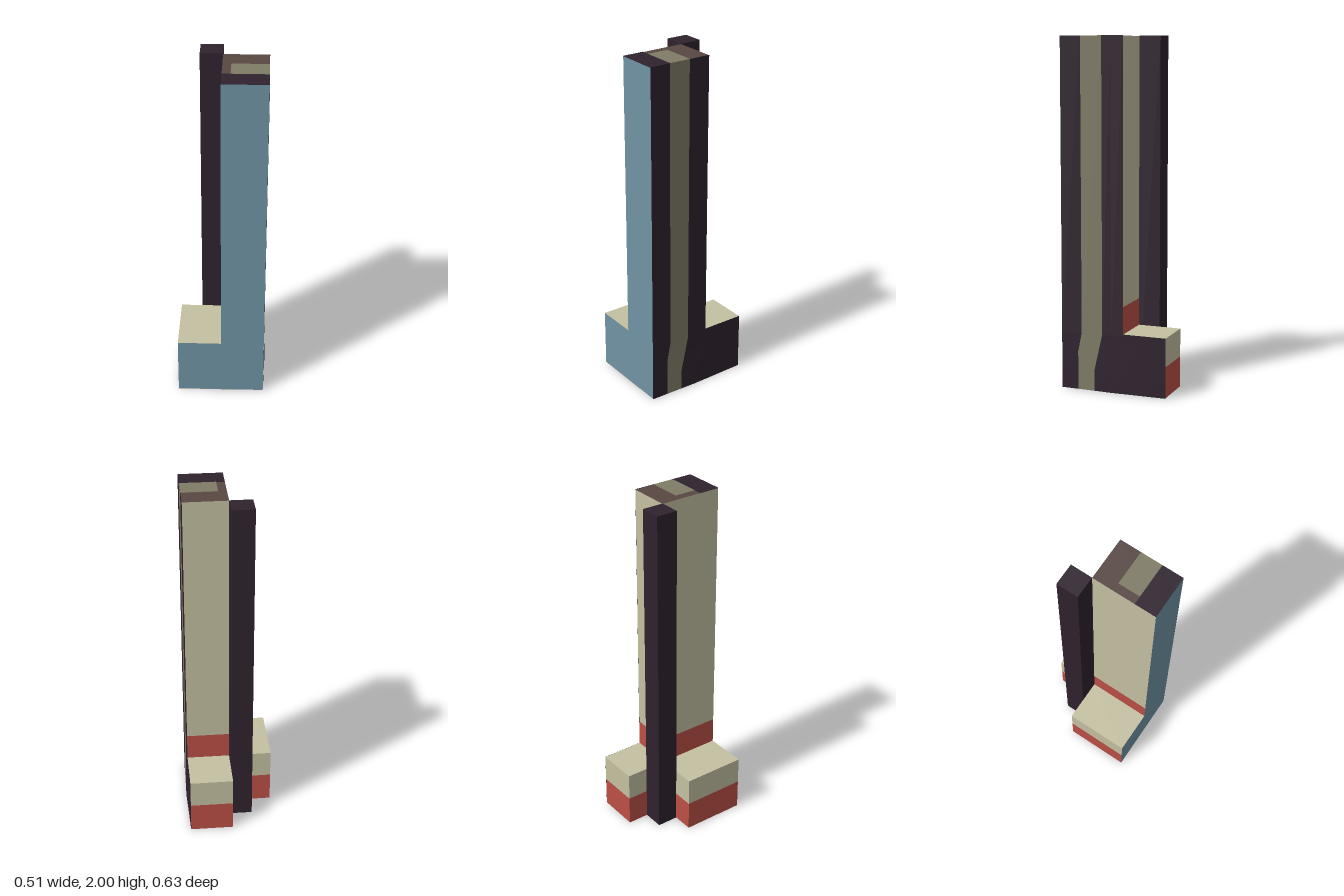
import * as THREE from 'three';

const mat = (name, color, side = THREE.FrontSide) => {
  const m = new THREE.MeshStandardMaterial({ color, side });
  m.name = name;
  return m;
};

export function createModel() {
  const group = new THREE.Group();
  const blue = mat('blue', 0x7093a4);
  const cream = mat('cream', 0xc4c0a2);
  const red = mat('red', 0xbb4f46);
  const dark = mat('dark plum', 0x2f222e, THREE.DoubleSide);
  const brown = mat('brown', 0x584844);
  const olive = mat('olive', 0x7f7c66, THREE.DoubleSide);

  const add = (name, geo, material) => {
    const mesh = new THREE.Mesh(geo, material);
    mesh.name = name;
    group.add(mesh);
  };
  const box = (name, [x0, x1], [y0, y1], [z0, z1], material) => {
    const geo = new THREE.BoxGeometry(x1 - x0, y1 - y0, z1 - z0);
    geo.translate((x0 + x1) / 2, (y0 + y1) / 2, (z0 + z1) / 2);
    add(name, geo, material);
  };
  // Face order: +x, -x, top, bottom, front, back
  const faces = (wall, top) => [dark, wall, top, brown, blue, wall];

  const L = -0.255, M = -0.004, R = 0.245;
  const F = 0.313, C = -0.062, B = -0.315;
  const step = 0.343, bottom = 0.002;

  // Tower
  box('towerFoot', [M, R], [bottom, step], [C, F], faces(red, cream));
  box('towerRedBand', [M, R], [step, 0.5], [C, F], faces(red, cream));
  box('towerShaft', [M, R], [0.5, 1.998], [C, F], faces(cream, brown));

  // Low wings: red below, cream above
  for (const [name, xs, zs] of [['sideWing', [L, M], [C, F]], ['backWing', [M, R], [B, C]]]) {
    box(name + 'Lower', xs, [bottom, 0.18], zs, faces(red, cream));
    box(name + 'Upper', xs, [0.18, step], zs, faces(cream, cream));
  }

  // Slim corner post
  box('cornerPost', [-0.13, M], [bottom, 2], [-0.189, C], [dark, dark, dark, brown, dark, dark]);

  // Painted areas on the tower top
  box('topFrontBand', [M, R], [1.998, 2], [0.189, F], dark);
  box('topStripe', [0.043, R], [1.998, 2], [0.062, 0.189], olive);

  // Left wall skin, bulging slightly near the ground
  const skin = (name, material, columns, rows) => {
    const pos = [], index = [], n = columns.length;
    for (const y of rows) {
      for (const column of columns) {
        const z = column(y);
        const bulge = 0.007 * Math.max(0, 1 - y / 0.28) * Math.max(0, 1 - Math.abs(z - 0.01) / 0.28);
        pos.push(R + 0.001 + bulge, y, z);
      }
    }
    for (let r = 0; r < rows.length - 1; r++) {
      for (let c = 0; c < n - 1; c++) {
        const a = r * n + c, b = a + 1, d = a + n, e = d + 1;
        index.push(a, b, e, a, e, d);
      }
    }
    const geo = new THREE.BufferGeometry();
    geo.setAttribute('position', new THREE.Float32BufferAttribute(pos, 3));
    geo.setIndex(index);
    geo.computeVertexNormals();
    add(name, geo, material);
  };
  const ramp = (y, y0, y1, a, b) => THREE.MathUtils.lerp(a, b, THREE.MathUtils.clamp((y - y0) / (y1 - y0), 0, 1));
  const at = (z) => () => z;
  const stripeFront = (y) => ramp(y, 0.22, 0.33, 0.213, 0.191);
  const stripeBack = (y) => ramp(y, 0.12, 0.33, 0.112, 0.065);
  const low = [0, 0.12, 0.22, 0.28, 0.33];
  const tall = [...low, 2];
  skin('leftWallFront', dark, [at(F), stripeFront], tall);
  skin('leftWallStripe', olive, [stripeFront, stripeBack], tall);
  skin('leftWallBack', dark, [stripeBack, at(0.01), at(C)], tall);
  skin('leftWingWall', dark, [at(C), at(-0.19), at(B)], [...low, step]);

  // Painted patches underneath, drawn in x and z
  const patch = (name, points) => {
    const geo = new THREE.ShapeGeometry(new THREE.Shape(points.map(([x, z]) => new THREE.Vector2(x, z))));
    geo.rotateX(Math.PI / 2);
    add(name, geo, olive);
  };
  patch('undersideStripeEnd', [[R, 0.112], [R, 0.213], [0.18, 0.213], [0.155, 0.19], [0.155, 0.135], [0.18, 0.112]]);
  patch('undersideSpot', [[0.1, 0.03], [0.11, 0.06], [0.08, 0.09], [-0.05, 0.09], [-0.075, 0.06], [-0.06, 0.02], [0.07, 0.01]]);
  patch('undersideCorner', [[0.11, F], [0.08, 0.22], [0.03, 0.15], [-0.08, 0.12], [-0.18, 0.15], [L, 0.16], [L, F]]);

  return group;
}
